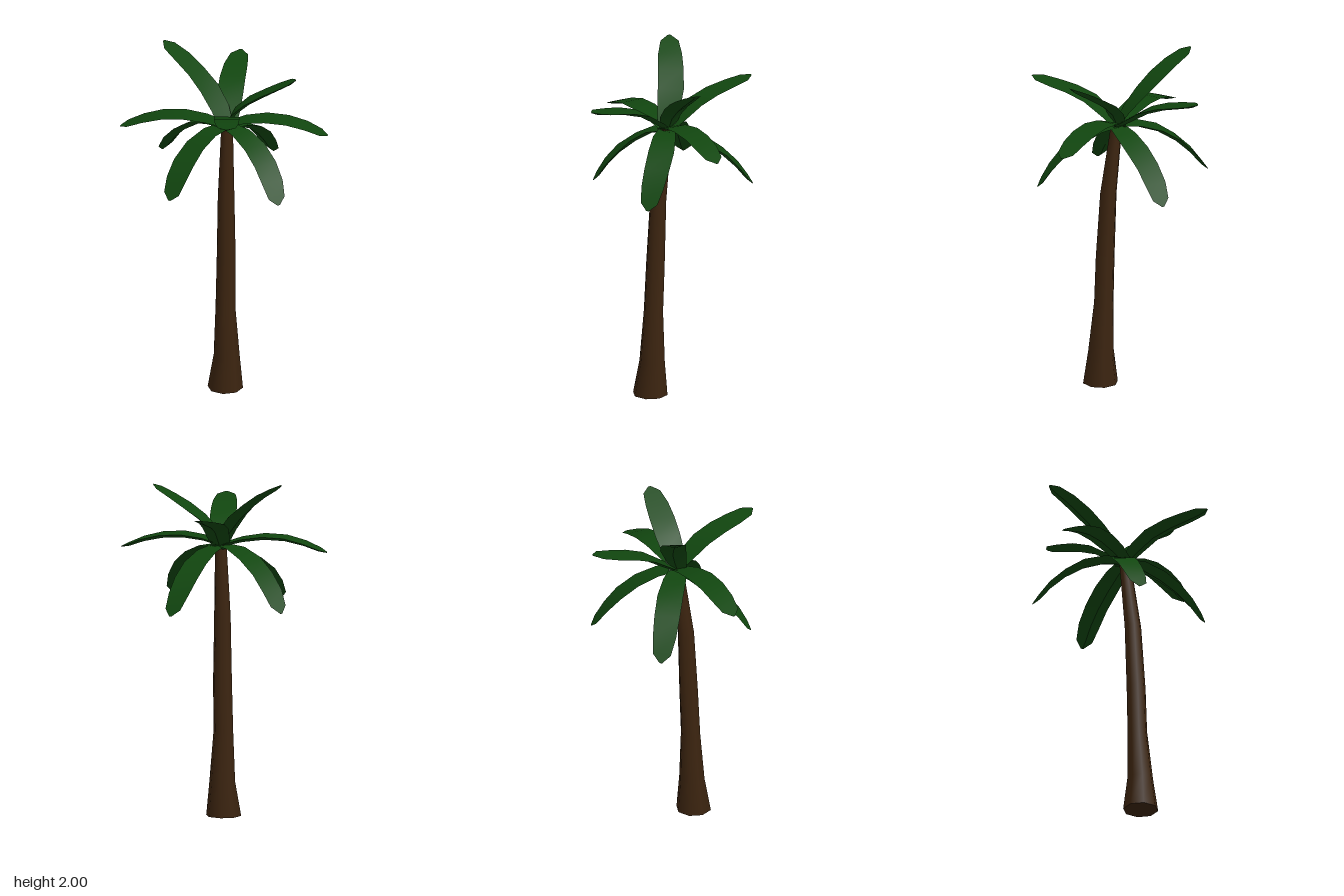
import * as THREE from 'three';
import { toCreasedNormals } from 'three/addons/utils/BufferGeometryUtils.js';

const bark = new THREE.MeshStandardMaterial({ color: 0x3d2510 });
bark.name = 'bark brown';
const leaf = new THREE.MeshStandardMaterial({ color: 0x11460f });
leaf.name = 'palm green';

// Trunk: rings of [y, centre x, centre z, radius] from the ground up
const rings = [
  [0, 0.02, 0.12, 0.102], [0.2, 0.027, 0.112, 0.075], [0.5, 0.018, 0.098, 0.057],
  [0.78, 0.021, 0.087, 0.055], [1.17, 0.018, 0.067, 0.048], [1.61, 0.017, 0.01, 0.033],
];

function makeTrunk() {
  const n = rings.length - 1;
  const geo = new THREE.CylinderGeometry(1, 1, 1, 8, n);
  const pos = geo.attributes.position;
  for (let i = 0; i < pos.count; i++) {
    const [y, cx, cz, r] = rings[Math.round((pos.getY(i) + 0.5) * n)];
    pos.setXYZ(i, cx + pos.getX(i) * r, y, cz + pos.getZ(i) * r);
  }
  const mesh = new THREE.Mesh(geo, bark);
  mesh.name = 'trunk';
  return mesh;
}

// Frond stations: [position along the midrib, half width, keel depth]
const stations = [
  [0, 0.045, 0.015], [0.2, 0.066, 0.024], [0.4, 0.075, 0.027], [0.6, 0.074, 0.026],
  [0.78, 0.068, 0.022], [0.93, 0.052, 0.016], [1, 0.008, 0.004],
];

// Frond: flat blade on top with a shallow keel below, swept along the midrib
function makeFrond(name, points) {
  const curve = new THREE.CatmullRomCurve3(points.map((p) => new THREE.Vector3(...p)));
  const up = new THREE.Vector3(0, 1, 0);
  const verts = [];
  const index = [];
  for (const [t, half, keel] of stations) {
    const c = curve.getPointAt(t);
    const along = curve.getTangentAt(t);
    const side = new THREE.Vector3().crossVectors(along, up).normalize();
    const normal = new THREE.Vector3().crossVectors(side, along);
    for (const [s, k] of [[-half, 0], [half, 0], [0, -keel]]) {
      verts.push(...c.clone().addScaledVector(side, s).addScaledVector(normal, k).toArray());
    }
  }
  const last = (stations.length - 1) * 3;
  for (let a = 0; a < last; a += 3) {
    for (let j = 0; j < 3; j++) {
      const p = a + j, q = a + ((j + 1) % 3);
      index.push(p, q, q + 3, p, q + 3, p + 3);
    }
  }
  index.push(0, 2, 1, last, last + 1, last + 2);
  const geo = new THREE.BufferGeometry();
  geo.setAttribute('position', new THREE.Float32BufferAttribute(verts, 3));
  geo.setIndex(index);
  const mesh = new THREE.Mesh(toCreasedNormals(geo, 0.55), leaf);
  mesh.name = name;
  return mesh;
}

// Midrib paths from the crown to each tip
const fronds = {
  leftFrond: [[0, 1.6, 0.01], [0.13, 1.645, 0.01], [0.28, 1.66, 0.012], [0.44, 1.635, 0.013], [0.6, 1.57, 0.015]],
  rightFrond: [[0.02, 1.6, 0.01], [-0.13, 1.645, 0.015], [-0.3, 1.66, 0.02], [-0.45, 1.63, 0.023], [-0.6, 1.57, 0.025]],
  backFrond: [[0.02, 1.58, 0.03], [0.015, 1.67, -0.1], [0.012, 1.745, -0.22], [0.015, 1.79, -0.38], [0.03, 1.83, -0.545]],
  frontFrond: [[0.02, 1.58, -0.02], [0.03, 1.68, 0.1], [0.04, 1.75, 0.22], [0.06, 1.785, 0.38], [0.08, 1.815, 0.545]],
  raisedRightFrond: [[0.02, 1.58, 0.02], [-0.04, 1.71, -0.04], [-0.12, 1.81, -0.1], [-0.24, 1.915, -0.165], [-0.38, 2, -0.24]],
  raisedLeftFrond: [[0, 1.58, 0], [0.06, 1.7, 0.005], [0.15, 1.775, 0.015], [0.28, 1.855, 0.04], [0.42, 1.93, 0.06]],
  lowBackLeftFrond: [[0.02, 1.6, 0.02], [0.08, 1.575, -0.09], [0.13, 1.52, -0.2], [0.18, 1.41, -0.33], [0.23, 1.25, -0.44]],
  lowBackRightFrond: [[0.02, 1.6, 0.02], [-0.1, 1.59, -0.08], [-0.2, 1.54, -0.17], [-0.31, 1.43, -0.26], [-0.4, 1.27, -0.345]],
  lowFrontLeftFrond: [[0.01, 1.6, 0], [0.11, 1.585, 0.08], [0.2, 1.53, 0.155], [0.29, 1.42, 0.25], [0.355, 1.26, 0.335]],
  lowFrontRightFrond: [[0.02, 1.6, 0], [-0.08, 1.575, 0.07], [-0.16, 1.51, 0.14], [-0.23, 1.4, 0.24], [-0.28, 1.25, 0.325]],
};

export function createModel() {
  const model = new THREE.Group();
  model.name = 'palmTree';
  model.add(makeTrunk());
  const crown = new THREE.Group();
  crown.name = 'crown';
  for (const [name, points] of Object.entries(fronds)) crown.add(makeFrond(name, points));
  model.add(crown);
  return model;
}
